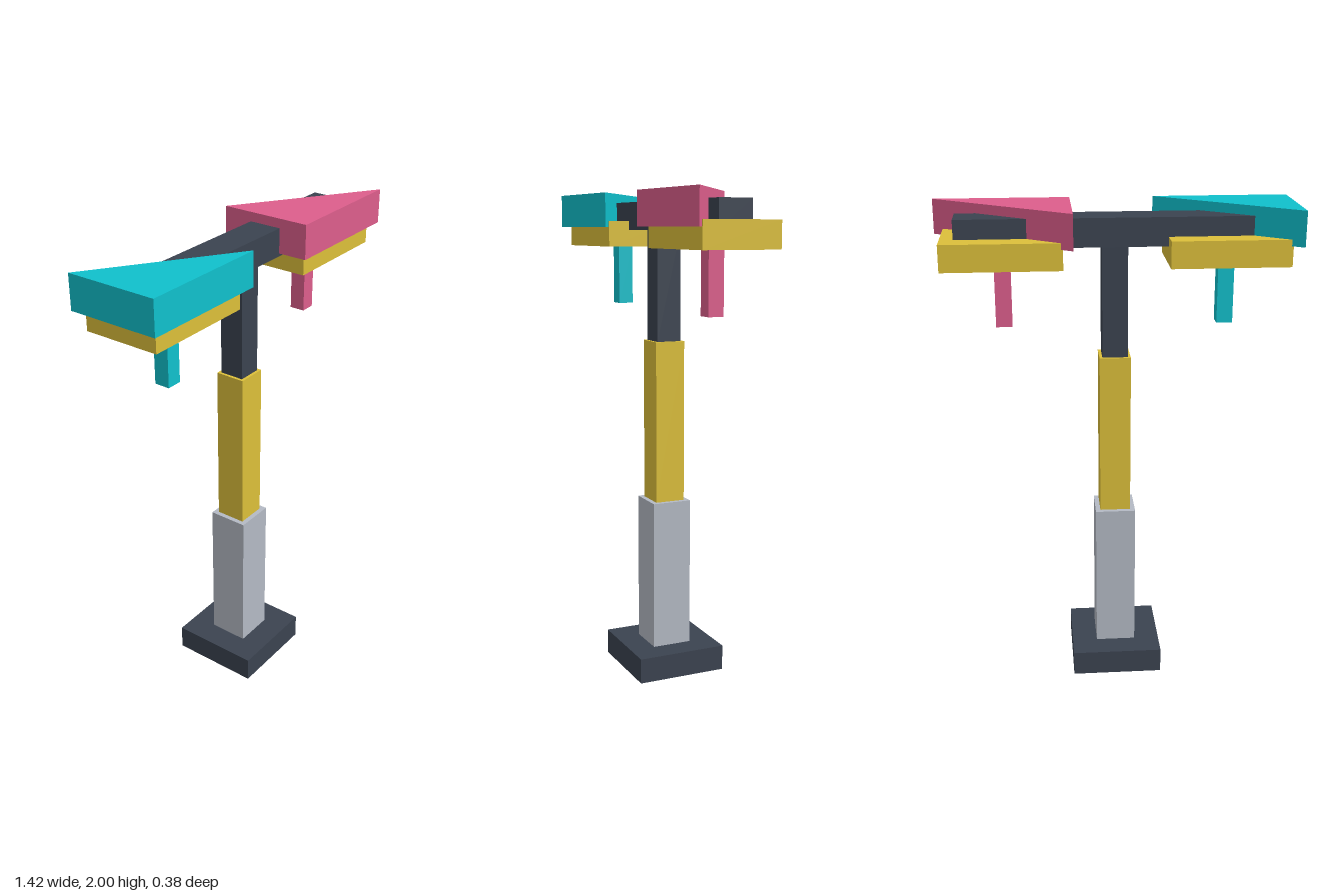
import * as THREE from 'three';

const material = (color) => new THREE.MeshStandardMaterial({ color, flatShading: true });

export function createModel() {
  const model = new THREE.Group();
  model.name = 'twinHeadStand';

  const dark = material(0x3b4350);
  const grey = material(0xb4bac4);
  const yellow = material(0xdcbf3a);
  const cyan = material(0x10c0cc);
  const pink = material(0xdd5e8c);

  // Box centred on x and z, spanning y0 to y1
  function addBox(parent, name, mat, width, depth, y0, y1) {
    const mesh = new THREE.Mesh(new THREE.BoxGeometry(width, y1 - y0, depth), mat);
    mesh.name = name;
    mesh.position.y = (y0 + y1) / 2;
    parent.add(mesh);
  }

  // Telescoping post on a square foot, with a crossbeam on top
  addBox(model, 'base', dark, 0.377, 0.377, 0, 0.105);
  addBox(model, 'lowerPost', grey, 0.166, 0.166, 0.105, 0.73);
  addBox(model, 'middlePost', yellow, 0.126, 0.126, 0.73, 1.4);
  addBox(model, 'upperPost', dark, 0.102, 0.102, 1.4, 1.85);
  addBox(model, 'crossbeam', dark, 1.24, 0.136, 1.849, 1.962);

  // Right-angled wedge: straight sides at -x and +z, sloping side at the back
  const hw = 0.2725, hd = 0.1885;
  const outline = new THREE.Shape([
    new THREE.Vector2(-hw, hd),
    new THREE.Vector2(-hw, -hd),
    new THREE.Vector2(hw, -hd),
  ]);
  const wedgeGeometry = new THREE.ExtrudeGeometry(outline, { depth: 0.139, bevelEnabled: false });
  wedgeGeometry.rotateX(-Math.PI / 2);

  // One head at each end of the beam: pad, hanging handle and wedge
  for (const [name, x, mat] of [['rightHead', -0.441, cyan], ['leftHead', 0.439, pink]]) {
    const head = new THREE.Group();
    head.name = name;
    head.position.x = x;
    addBox(head, 'pad', yellow, 0.469, 0.315, 1.78, 1.886);
    addBox(head, 'handle', mat, 0.064, 0.064, 1.53, 1.78);
    const wedge = new THREE.Mesh(wedgeGeometry, mat);
    wedge.name = 'wedge';
    wedge.position.y = 1.861;
    head.add(wedge);
    model.add(head);
  }

  return model;
}
